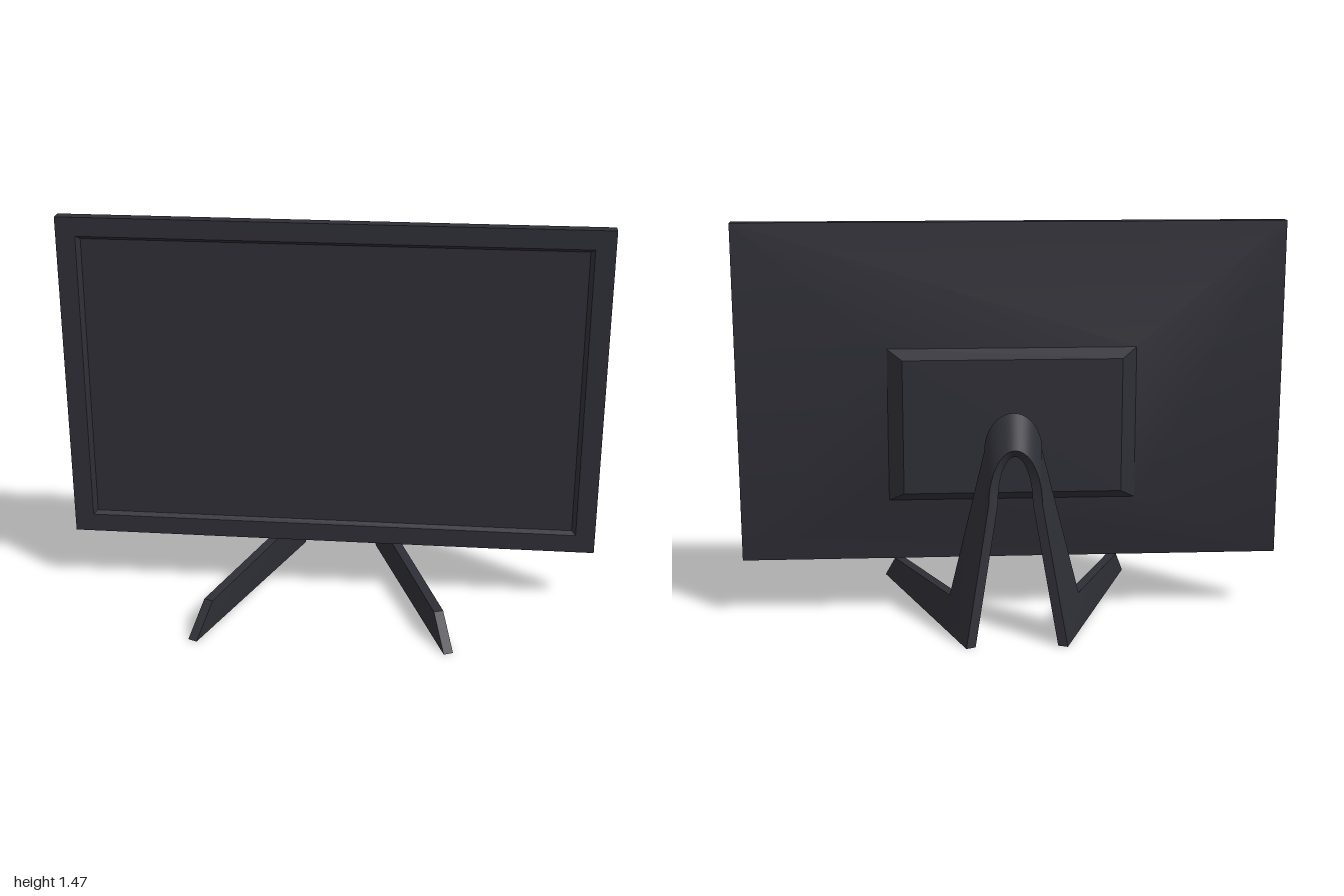
import * as THREE from 'three';
import { toCreasedNormals } from 'three/addons/utils/BufferGeometryUtils.js';

// Skin a series of four-cornered rings, with optional end caps
function loft(rings, capStart = false, capEnd = false) {
  const pos = [];
  const tri = (...pts) => pts.forEach((p) => pos.push(...p));
  for (let i = 0; i < rings.length - 1; i++) {
    for (let k = 0; k < 4; k++) {
      const n = (k + 1) % 4;
      const a = rings[i][k], b = rings[i][n], c = rings[i + 1][n], d = rings[i + 1][k];
      tri(a, d, c);
      tri(a, c, b);
    }
  }
  if (capStart) {
    const [a, b, c, d] = rings[0];
    tri(a, b, c);
    tri(a, c, d);
  }
  if (capEnd) {
    const [a, b, c, d] = rings[rings.length - 1];
    tri(a, c, b);
    tri(a, d, c);
  }
  const geo = new THREE.BufferGeometry();
  geo.setAttribute('position', new THREE.Float32BufferAttribute(pos, 3));
  return toCreasedNormals(geo, 0.45);
}

// Upright rectangle, counter-clockwise from the front
const rect = (hx, y0, y1, z) => [[-hx, y0, z], [hx, y0, z], [hx, y1, z], [-hx, y1, z]];

// Stand section from its outer front and back edges, thickened inward by an offset
function section(front, back, offset) {
  const inset = (p) => p.map((v, i) => v + offset[i]);
  return [front, inset(front), inset(back), back];
}

function standRings() {
  const side = [-0.033, 0, 0.014];
  const half = [
    section([0.443, 0.107, 0.295], [0.485, 0, 0.411], side), // foot tip
    section([0.235, 0.14, -0.25], [0.18, 0, -0.425], side), // heel
  ];
  // Arch over the top of the legs
  const steps = 10;
  for (let i = 0; i <= steps; i++) {
    const t = (i / steps) * Math.PI / 2, c = Math.cos(t), s = Math.sin(t);
    half.push(section(
      [0.105 * c, 0.66 + 0.14 * s, -0.19],
      [0.095 * c, 0.50 + 0.19 * s, -0.33 + 0.025 * s],
      [-0.033 * c, -0.028 * s, 0.014 + 0.01 * s],
    ));
  }
  const mirrored = half.slice(0, -1).reverse().map((r) => r.map(([x, y, z]) => [-x, y, z]));
  return [...half, ...mirrored];
}

export function createModel() {
  const model = new THREE.Group();
  model.name = 'monitor';
  const plastic = new THREE.MeshStandardMaterial({ color: 0x2e2e36 });
  plastic.name = 'dark plastic';

  const add = (name, geometry) => {
    const mesh = new THREE.Mesh(geometry, plastic);
    mesh.name = name;
    model.add(mesh);
  };

  // Recessed screen
  add('screen', loft([rect(0.913, 0.302, 1.388, -0.016)], true));

  // Bevelled frame and its outer rim
  add('bezel', loft([
    rect(0.913, 0.302, 1.388, -0.016),
    rect(0.928, 0.29, 1.40, 0),
    rect(1, 0.22, 1.47, 0),
    rect(1, 0.22, 1.47, -0.05),
  ]));

  // Tapered rear shell
  add('backShell', loft([rect(1, 0.22, 1.47, -0.05), rect(0.45, 0.465, 1.025, -0.122)]));

  // Raised plate behind the shell
  add('mountPlate', loft([
    rect(0.45, 0.465, 1.025, -0.122),
    rect(0.395, 0.50, 0.99, -0.167),
  ], false, true));

  // Arched stand with two splayed feet
  add('stand', loft(standRings(), true, true));

  return model;
}
